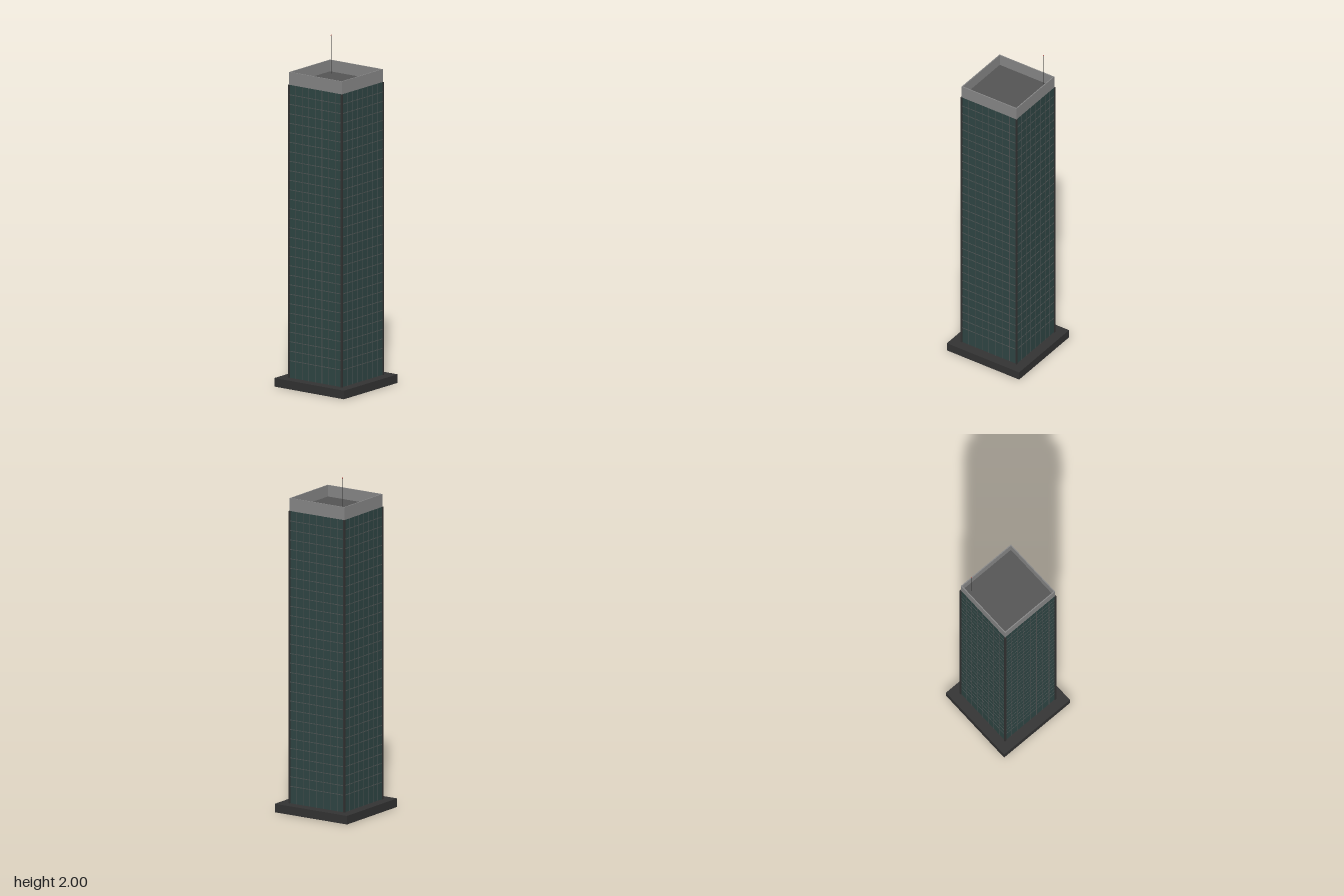
import * as THREE from 'three';

const BASE_H = 0.05, TOP = 1.765, PARAPET_TOP = 1.84, HALF = 0.19;

function material(color) {
  return new THREE.MeshStandardMaterial({ color });
}

export function createModel() {
  const tower = new THREE.Group();
  tower.name = 'tower';
  const dark = material(0x333333);
  const glass = material(0x2f4644);
  const trim = material(0x4f5555);
  const grey = material(0x888888);
  const roofGrey = material(0x555555);
  const red = material(0xaa2222);

  // Box placed by its bottom height
  const box = (name, w, h, d, x, y, z, mat, parent = tower) => {
    const mesh = new THREE.Mesh(new THREE.BoxGeometry(w, h, d), mat);
    mesh.name = name;
    mesh.position.set(x, y + h / 2, z);
    parent.add(mesh);
    return mesh;
  };
  const group = (name) => {
    const g = new THREE.Group();
    g.name = name;
    tower.add(g);
    return g;
  };

  // Plinth and glazed shaft
  const height = TOP - BASE_H;
  box('plinth', 0.5, BASE_H, 0.5, 0, 0, 0, dark);
  box('glassShaft', HALF * 2, height, HALF * 2, 0, BASE_H, 0, glass);

  // Thin floor edges above a taller lobby
  const floors = group('floorEdges');
  for (let i = 0; i < 29; i++) {
    box('floorEdge', 0.383, 0.004, 0.383, 0, 0.148 + i * 0.0556, 0, trim, floors);
  }

  // Vertical mullions on all four faces
  const mullions = group('mullions');
  for (let side = 0; side < 4; side++) {
    const face = new THREE.Group();
    face.name = 'mullionFace';
    face.rotation.y = side * Math.PI / 2;
    mullions.add(face);
    for (let i = 1; i < 8; i++) {
      box('mullion', 0.002, height, 0.003, -HALF + i * HALF / 4, BASE_H, HALF + 0.001, trim, face);
    }
  }

  // Corner columns
  for (const x of [-HALF, HALF]) {
    for (const z of [-HALF, HALF]) {
      box('cornerColumn', 0.01, height, 0.01, x, BASE_H, z, dark);
    }
  }

  // Hollow parapet around the recessed roof
  const outline = new THREE.Shape();
  const hole = new THREE.Path();
  for (const [path, r] of [[outline, HALF], [hole, 0.184]]) {
    path.moveTo(-r, -r).lineTo(r, -r).lineTo(r, r).lineTo(-r, r).closePath();
  }
  outline.holes.push(hole);
  const wall = new THREE.ExtrudeGeometry(outline, { depth: PARAPET_TOP - TOP, bevelEnabled: false });
  wall.rotateX(-Math.PI / 2);
  const parapet = new THREE.Mesh(wall, grey);
  parapet.name = 'parapet';
  parapet.position.y = TOP;
  tower.add(parapet);
  box('roofDeck', 0.37, 0.01, 0.37, 0, TOP - 0.002, 0, roofGrey);

  // Antenna with a beacon at its tip
  const mastBase = TOP + 0.008, mastTop = 1.996;
  const mast = new THREE.Mesh(new THREE.CylinderGeometry(0.0015, 0.002, mastTop - mastBase, 8), dark);
  mast.name = 'antenna';
  mast.position.set(0.145, (mastBase + mastTop) / 2, -0.147);
  tower.add(mast);
  const beacon = new THREE.Mesh(new THREE.SphereGeometry(0.003, 8, 6), red);
  beacon.name = 'beacon';
  beacon.position.set(0.145, 1.997, -0.147);
  tower.add(beacon);

  return tower;
}
